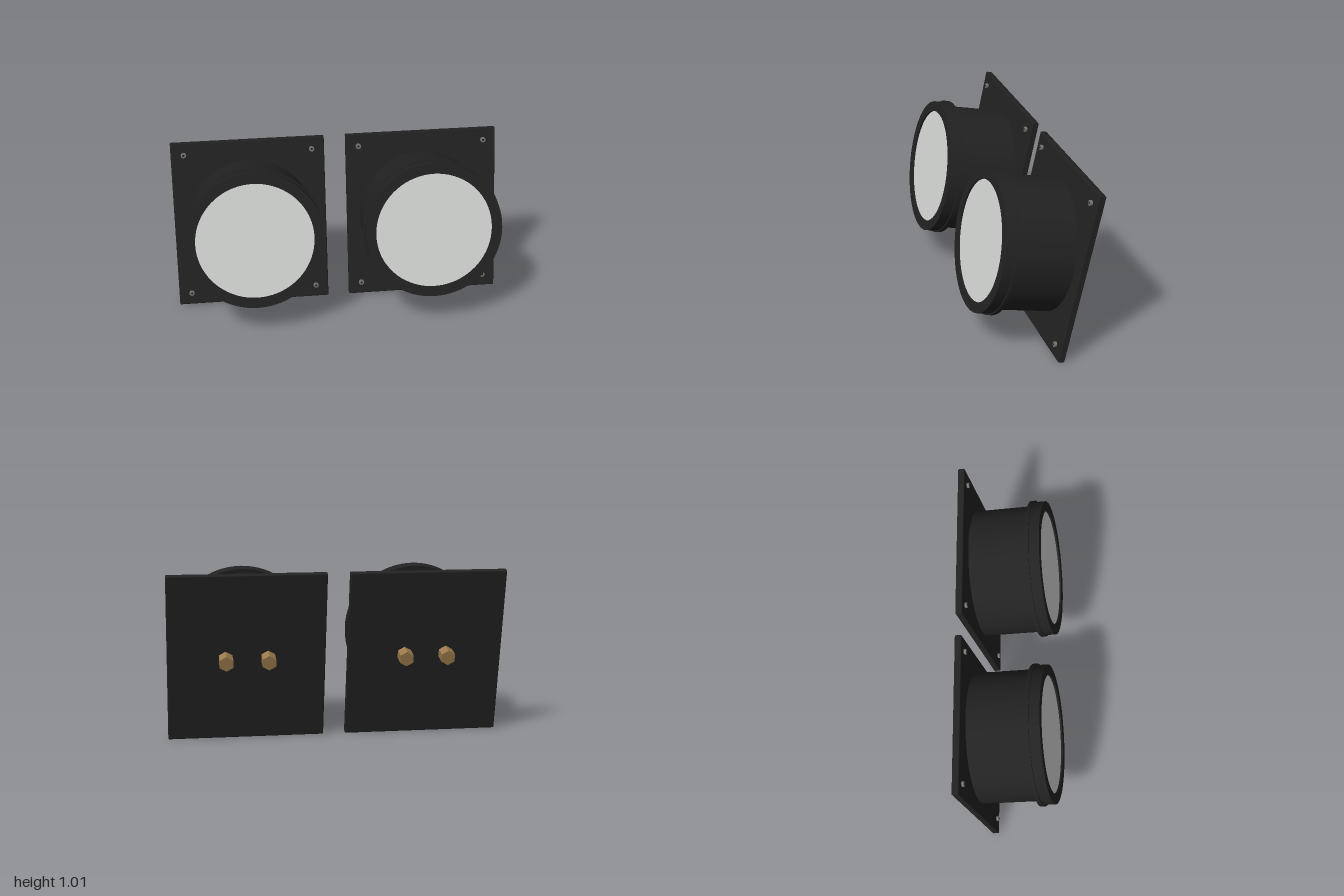
import * as THREE from 'three';
import { toCreasedNormals } from 'three/addons/utils/BufferGeometryUtils.js';
import { RoundedBoxGeometry } from 'three/addons/geometries/RoundedBoxGeometry.js';

const material = (name, color) => {
  const m = new THREE.MeshStandardMaterial({ color });
  m.name = name;
  return m;
};

export function createModel() {
  const black = material('matte black', 0x222222);
  const white = material('lens white', 0xd6d8d6);
  const brass = material('brass', 0x9a794c);
  const steel = material('screw grey', 0x777777);

  const add = (parent, name, geometry, mat, x = 0, y = 0, z = 0) => {
    const mesh = new THREE.Mesh(geometry, mat);
    mesh.name = name;
    mesh.position.set(x, y, z);
    parent.add(mesh);
    return mesh;
  };

  // Drum, raised band, front rim and the shallow recess, turned as one profile
  const profile = [
    [0.388, 0.015], [0.388, 0.364], [0.42, 0.364], [0.42, 0.389],
    [0.411, 0.389], [0.411, 0.452], [0.35, 0.452], [0.35, 0.438],
  ].map(([r, h]) => new THREE.Vector2(r, h));
  const housingGeo = toCreasedNormals(new THREE.LatheGeometry(profile, 72), 0.6);
  housingGeo.rotateX(Math.PI / 2);

  const plateGeo = new RoundedBoxGeometry(0.933, 1.028, 0.04, 2, 0.006);
  const lensGeo = new THREE.CircleGeometry(0.351, 72);
  const screwGeo = new THREE.CylinderGeometry(0.016, 0.016, 0.014, 16).rotateX(Math.PI / 2);
  const socketGeo = new THREE.CircleGeometry(0.008, 6);
  // Hexagonal terminal with corners at top and bottom
  const terminalGeo = toCreasedNormals(
    new THREE.CylinderGeometry(0.046, 0.046, 0.085, 6).rotateX(Math.PI / 2), 0.3);

  const model = new THREE.Group();
  model.name = 'twinLamps';

  for (const side of [-1, 1]) {
    const lamp = new THREE.Group();
    lamp.name = side < 0 ? 'rightLamp' : 'leftLamp';
    lamp.position.set(side * 0.533, 0.507, -0.2);
    lamp.rotation.x = -THREE.MathUtils.degToRad(12); // leans back
    model.add(lamp);

    add(lamp, 'mountingPlate', plateGeo, black);
    add(lamp, 'housing', housingGeo, black);
    add(lamp, 'lens', lensGeo, white, 0, 0, 0.441);

    // Corner screws and rear terminals
    for (const sx of [-1, 1]) {
      for (const sy of [-1, 1]) {
        add(lamp, 'cornerScrew', screwGeo, steel, sx * 0.389, sy * 0.44, 0.026);
        add(lamp, 'screwSocket', socketGeo, black, sx * 0.389, sy * 0.44, 0.0342);
      }
      add(lamp, 'terminal', terminalGeo, brass, sx * 0.125, 0, -0.0595);
    }
  }
  return model;
}
